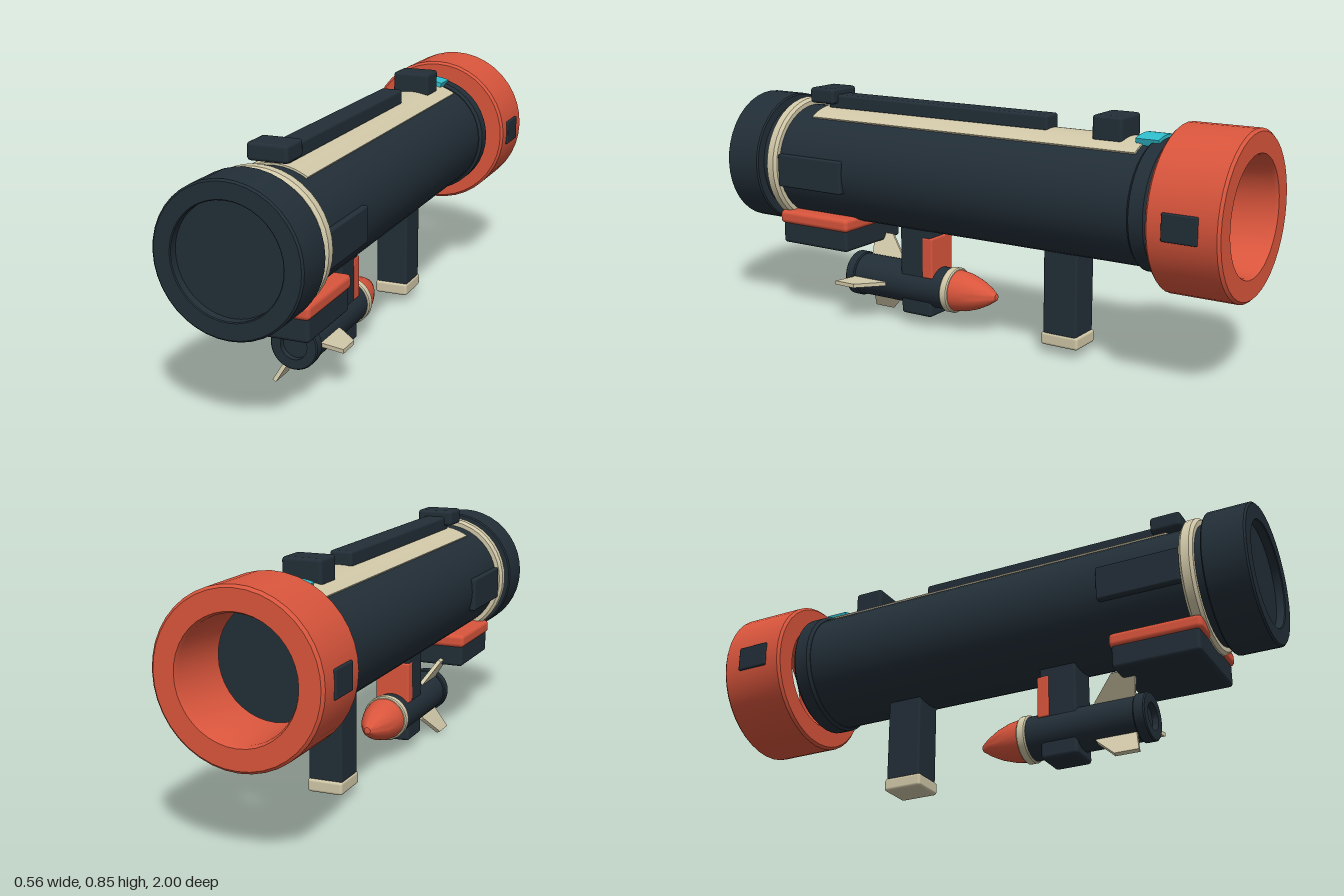
import * as THREE from 'three';
import { toCreasedNormals } from 'three/addons/utils/BufferGeometryUtils.js';
import { RoundedBoxGeometry } from 'three/addons/geometries/RoundedBoxGeometry.js';

const AXIS = 0.57; // height of the main tube's axis
const ROCKET = 0.15; // height of the small rocket's axis

function material(name, color) {
  const m = new THREE.MeshStandardMaterial({ color });
  m.name = name;
  return m;
}

export function createModel() {
  const model = new THREE.Group();
  model.name = 'launcher';
  const dark = material('dark slate', 0x222e37);
  const coral = material('coral', 0xd9553c);
  const cream = material('cream', 0xd1c8a8);
  const cyan = material('cyan', 0x2fbecd);

  function add(name, geometry, mat, parent = model) {
    const mesh = new THREE.Mesh(geometry, mat);
    mesh.name = name;
    parent.add(mesh);
    return mesh;
  }

  // Turned part along z; the profile is [radius, z] with z rising on the outside
  function turned(name, profile, mat, y, segments = 40) {
    const points = profile.map(([r, z]) => new THREE.Vector2(r, z));
    const g = new THREE.LatheGeometry(points, segments).rotateX(Math.PI / 2);
    return add(name, toCreasedNormals(g, 0.6), mat, model).translateY(y);
  }

  // Solid bevelled disc or drum between two z values
  function drum(name, r, z0, z1, mat, y, bevel = 0.006) {
    return turned(name, [[0, z0], [r - bevel, z0], [r, z0 + bevel],
      [r, z1 - bevel], [r - bevel, z1], [0, z1]], mat, y);
  }

  // Rounded box given by its extents
  function box(name, [x0, x1], [y0, y1], [z0, z1], mat, radius = 0.008) {
    const g = new RoundedBoxGeometry(x1 - x0, y1 - y0, z1 - z0, 2, radius);
    g.translate((x0 + x1) / 2, (y0 + y1) / 2, (z0 + z1) / 2);
    return add(name, g, mat);
  }

  // Curved plate lying on top of the tube
  function arcPlate(name, rIn, rOut, halfWidth, z0, z1, mat) {
    const a = Math.asin(halfWidth / rOut);
    const s = new THREE.Shape();
    s.absarc(0, 0, rOut, Math.PI / 2 - a, Math.PI / 2 + a, false);
    s.absarc(0, 0, rIn, Math.PI / 2 + a, Math.PI / 2 - a, true);
    const g = new THREE.ExtrudeGeometry(s, { depth: z1 - z0, bevelEnabled: false, curveSegments: 14 });
    g.translate(0, AXIS, z0);
    return add(name, toCreasedNormals(g, 0.5), mat);
  }

  // Main tube, collars and muzzle
  drum('mainTube', 0.208, -0.72, 0.86, dark, AXIS);
  drum('rearCollar', 0.22, -0.73, -0.66, dark, AXIS, 0.01);
  drum('frontBand', 0.234, 0.772, 0.82, cream, AXIS, 0.01);
  turned('muzzleCap', [[0, 0.85], [0.238, 0.85], [0.243, 0.855], [0.243, 0.994],
    [0.237, 1], [0.184, 1], [0.181, 0.997], [0.181, 0.97], [0, 0.97]], dark, AXIS);

  // Hollow rear ring with a pad on each side
  turned('rearRing', [[0.193, -0.985], [0.2, -1], [0.268, -1], [0.277, -0.991], [0.277, -0.761],
    [0.268, -0.752], [0.195, -0.752], [0.188, -0.76], [0.193, -0.985]], coral, AXIS);
  for (const side of [-1, 1]) {
    const span = (a, b) => (side > 0 ? [a, b] : [-b, -a]);
    box('ringPad', span(0.255, 0.282), [0.525, 0.615], [-0.93, -0.81], dark, 0.005);
    box('sidePanel', span(0.17, 0.22), [0.5, 0.62], [0.48, 0.77], dark, 0.006);
  }

  // Top strip, sight rail and sights
  arcPlate('topStrip', 0.2, 0.214, 0.112, -0.635, 0.69, cream);
  arcPlate('rearMarker', 0.2, 0.231, 0.068, -0.695, -0.613, cyan);
  box('sightRail', [-0.04, 0.04], [0.775, 0.83], [-0.27, 0.67], dark, 0.01);
  box('frontSight', [-0.069, 0.069], [0.795, 0.853], [0.625, 0.735], dark, 0.012);
  box('rearSight', [-0.069, 0.069], [0.765, 0.853], [-0.565, -0.455], dark, 0.012);

  // Cradle under the front
  box('cradlePad', [-0.17, 0.17], [0.345, 0.395], [0.495, 0.815], coral, 0.016);
  box('cradleBlock', [-0.163, 0.163], [0.27, 0.354], [0.502, 0.805], dark, 0.012);

  // Rear grip
  box('grip', [-0.06, 0.06], [0.075, 0.4], [-0.405, -0.275], dark);
  box('gripFoot', [-0.063, 0.063], [0.036, 0.082], [-0.412, -0.268], cream, 0.01);

  // Pylon that holds the rocket
  box('pylon', [-0.062, 0.062], [0.15, 0.39], [0.197, 0.33], dark);
  box('pylonPlate', [-0.065, 0.065], [0.195, 0.345], [0.188, 0.232], coral, 0.006);
  box('rocketClamp', [-0.062, 0.062], [0.046, 0.11], [0.197, 0.33], dark, 0.012);

  // Small rocket with its nose to the rear
  drum('rocketBody', 0.077, 0.13, 0.55, dark, ROCKET);
  drum('rocketBand', 0.083, 0.115, 0.147, cream, ROCKET, 0.004);
  turned('rocketNose', [[0, -0.052], [0.012, -0.048], [0.033, -0.018], [0.054, 0.024],
    [0.069, 0.07], [0.076, 0.118], [0, 0.118]], coral, ROCKET);
  turned('rocketNozzle', [[0, 0.535], [0.079, 0.535], [0.083, 0.539], [0.083, 0.572],
    [0.079, 0.576], [0.047, 0.576], [0.047, 0.555], [0, 0.555]], dark, ROCKET);

  // Three swept fins
  const finShape = new THREE.Shape([[0.06, 0.385], [0.084, 0.392], [0.166, 0.47],
    [0.166, 0.555], [0.085, 0.535], [0.06, 0.535]].map(([r, z]) => new THREE.Vector2(r, z)));
  const finGeometry = new THREE.ExtrudeGeometry(finShape, { depth: 0.014, bevelEnabled: false })
    .rotateX(Math.PI / 2).translate(0, 0.007, 0);
  for (let i = 0; i < 3; i++) {
    const fin = add('rocketFin', finGeometry, cream);
    fin.position.y = ROCKET;
    fin.rotation.z = (i * Math.PI * 2) / 3;
  }
  return model;
}
